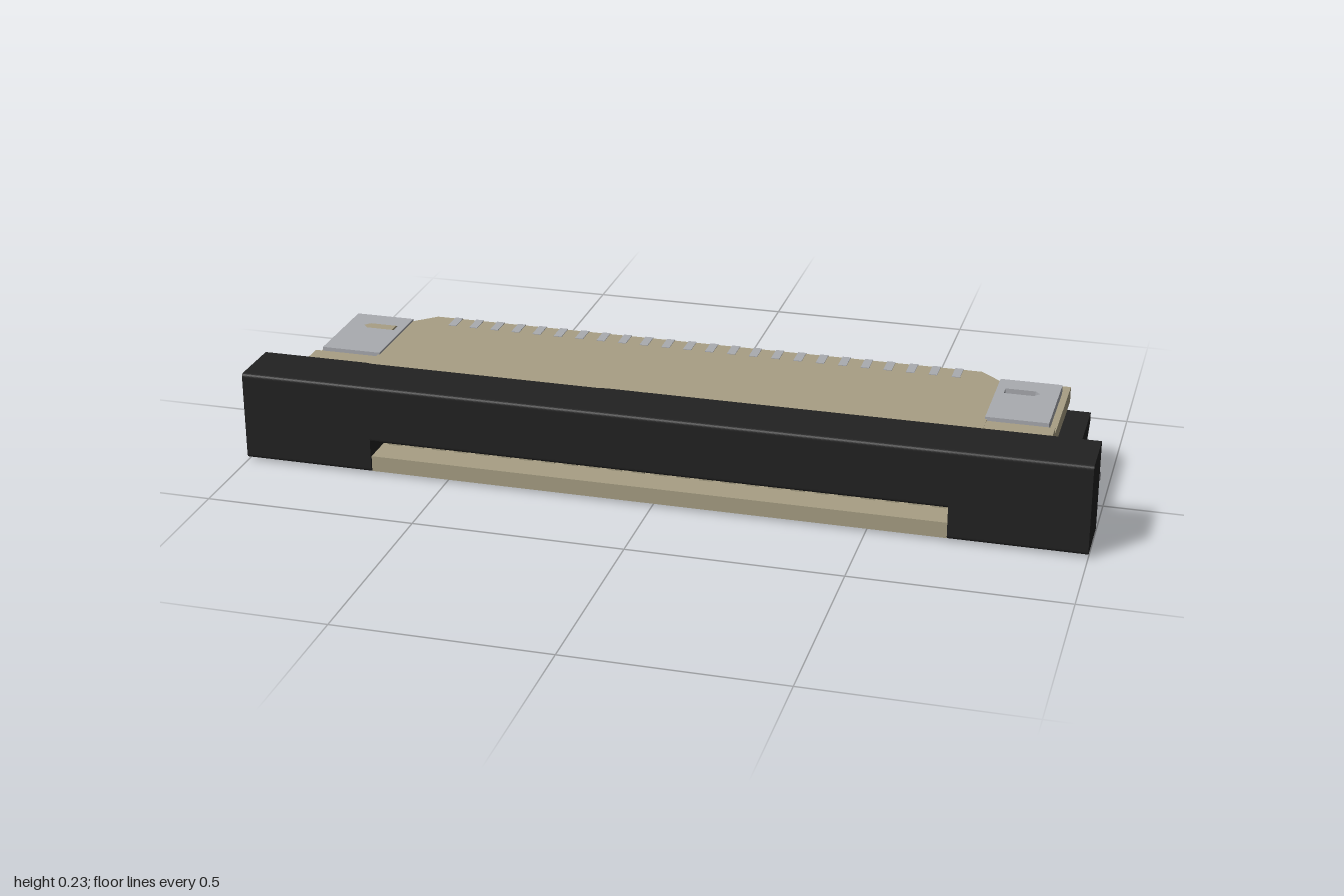
import * as THREE from 'three';

const material = (name, color) => {
  const m = new THREE.MeshStandardMaterial({ color });
  m.name = name;
  return m;
};

export function createModel() {
  const tan = material('tan housing', 0xa89f84);
  const black = material('black slider', 0x222222);
  const metal = material('grey metal', 0xa9abb0);
  const model = new THREE.Group();

  const add = (name, geometry, mat) => {
    const mesh = new THREE.Mesh(geometry, mat);
    mesh.name = name;
    model.add(mesh);
    return mesh;
  };
  const toShape = (pts) => new THREE.Shape(pts.map((p) => new THREE.Vector2(p[0], p[1])));
  const extrude = (shape, depth) =>
    new THREE.ExtrudeGeometry(shape, { depth, bevelEnabled: false, curveSegments: 8 });
  // Side profile in (z, y), swept from xa to xb
  const side = (name, shape, xa, xb, mat) =>
    add(name, extrude(shape, Math.abs(xb - xa)).rotateY(-Math.PI / 2).translate(Math.max(xa, xb), 0, 0), mat);
  // Floor plan in (x, z), raised from ya to yb
  const plan = (name, shape, ya, yb, mat) =>
    add(name, extrude(shape, yb - ya).rotateX(Math.PI / 2).translate(0, yb, 0), mat);
  const box = (name, xa, xb, ya, yb, za, zb, mat) =>
    add(name, new THREE.BoxGeometry(Math.abs(xb - xa), yb - ya, zb - za)
      .translate((xa + xb) / 2, (ya + yb) / 2, (za + zb) / 2), mat);

  // Housing: chamfered rear corners, open cable slot at the front
  const housingPlan = (front) => toShape([
    [-0.735, front], [-0.735, -0.14], [-0.68, -0.19], [0.68, -0.19], [0.735, -0.14], [0.735, front],
  ]);
  plan('housingTop', housingPlan(0.14), 0.08, 0.223, tan);
  plan('housingRear', housingPlan(0.0), 0.045, 0.08, tan);
  plan('housingFloor', housingPlan(0.14), 0.007, 0.045, tan);
  box('cableTray', -0.685, 0.685, 0.007, 0.045, 0.13, 0.272, tan);

  // Slider bar with rounded front edges, raised over the cable slot
  const barProfile = (bottom) => {
    const r = 0.01, f = 0.278, t = 0.223, s = new THREE.Shape();
    s.moveTo(0.137, bottom);
    s.lineTo(f - r, bottom);
    s.quadraticCurveTo(f, bottom, f, bottom + r);
    s.lineTo(f, t - r);
    s.quadraticCurveTo(f, t, f - r, t);
    s.lineTo(0.137, t);
    return s;
  };
  side('sliderBar', barProfile(0.083), -0.685, 0.685, black);

  // Contacts and slot ribs
  const count = 24, pitch = 0.0544, w = 0.01;
  const tail = toShape([
    [-0.185, 0.006], [-0.185, 0.058], [-0.19, 0.055], [-0.223, 0.022],
    [-0.278, 0.022], [-0.278, 0.001], [-0.196, 0.001],
  ]);
  for (let i = 0; i < count; i++) {
    const x = (i - (count - 1) / 2) * pitch;
    side('contactTail', tail, x - w, x + w, metal);
    box('contactBack', x - w, x + w, 0.03, 0.223, -0.1925, -0.188, metal);
    box('contactTop', x - w, x + w, 0.219, 0.2245, -0.1925, -0.14, metal);
    box('contactFinger', x - w, x + w, 0.045, 0.068, -0.01, 0.19, metal);
  }
  for (let i = 0; i <= count; i++) {
    const x = (i - count / 2) * pitch;
    box('slotRib', x - 0.016, x + 0.016, 0.04, 0.08, -0.01, 0.2, tan);
  }

  for (const s of [1, -1]) {
    const mirrored = (pts) => toShape(pts.map(([x, z]) => [x * s, z]));

    // Slider end block and its wedge-tipped arm
    side('sliderEnd', barProfile(0.007), s * 0.685, s, black);
    const arm = new THREE.Shape();
    arm.moveTo(0.14, 0.038);
    arm.quadraticCurveTo(0.133, 0.06, 0.11, 0.06);
    arm.lineTo(-0.09, 0.06);
    arm.lineTo(-0.19, 0.125);
    arm.lineTo(-0.19, 0.148);
    arm.lineTo(0.115, 0.148);
    arm.quadraticCurveTo(0.134, 0.148, 0.14, 0.172);
    side('sliderArm', arm, s * 0.865, s * 0.94, black);
    plan('armRoot', mirrored([[0.93, 0.14], [0.93, 0.11], [0.94, 0.11], [0.948, 0.128], [0.965, 0.14]]),
      0.055, 0.155, black);

    // Outward-opening guide bracket: web, two plates, and joints to the housing
    box('guideWeb', s * 0.81, s * 0.866, 0.022, 0.207, -0.189, 0.05, tan);
    const upper = [[0.14, 0.19], [0.07, 0.17], [-0.19, 0.17], [-0.19, 0.207], [0.14, 0.207]];
    side('guideUpperPlate', toShape(upper), s * 0.81, s * 0.89, tan);
    side('guideLowerPlate', toShape(upper.map(([z, y]) => [z, 0.2295 - y])), s * 0.81, s * 0.89, tan);
    const lip = mirrored([[0.775, 0.1], [0.775, -0.155], [0.812, -0.185], [0.812, 0.1]]);
    plan('guideUpperLip', lip, 0.17, 0.207, tan);
    plan('guideLowerLip', lip, 0.022, 0.06, tan);
    box('upperJoint', s * 0.73, s * 0.89, 0.195, 0.222, 0.09, 0.139, tan);
    box('lowerJoint', s * 0.73, s * 0.89, 0.008, 0.035, 0.09, 0.139, tan);

    // Hold-down clip: slotted top plate, upright, bottom plate with two solder prongs
    const topPlate = mirrored([[0.73, -0.147], [0.875, -0.147], [0.875, 0.082], [0.73, 0.082]]);
    topPlate.holes.push(new THREE.Path(
      [[0.75, -0.093], [0.82, -0.093], [0.832, -0.08], [0.82, -0.065], [0.75, -0.065]]
        .map(([x, z]) => new THREE.Vector2(x * s, z))));
    plan('clipTop', topPlate, 0.207, 0.228, metal);
    box('clipUpright', s * 0.736, s * 0.756, 0.01, 0.215, -0.147, 0.082, metal);
    box('clipTab', s * 0.74, s * 0.76, 0.07, 0.16, -0.168, -0.14, metal);
    plan('clipBottom', mirrored([
      [0.73, -0.147], [0.965, -0.152], [0.978, -0.14], [0.965, -0.125], [0.91, -0.122],
      [0.88, -0.108], [0.868, -0.09], [0.88, -0.07], [0.91, -0.058],
      [0.965, -0.055], [0.978, -0.04], [0.965, -0.027], [0.91, -0.025], [0.875, 0.0],
      [0.875, 0.082], [0.73, 0.082],
    ]), 0, 0.022, metal);
  }
  return model;
}
